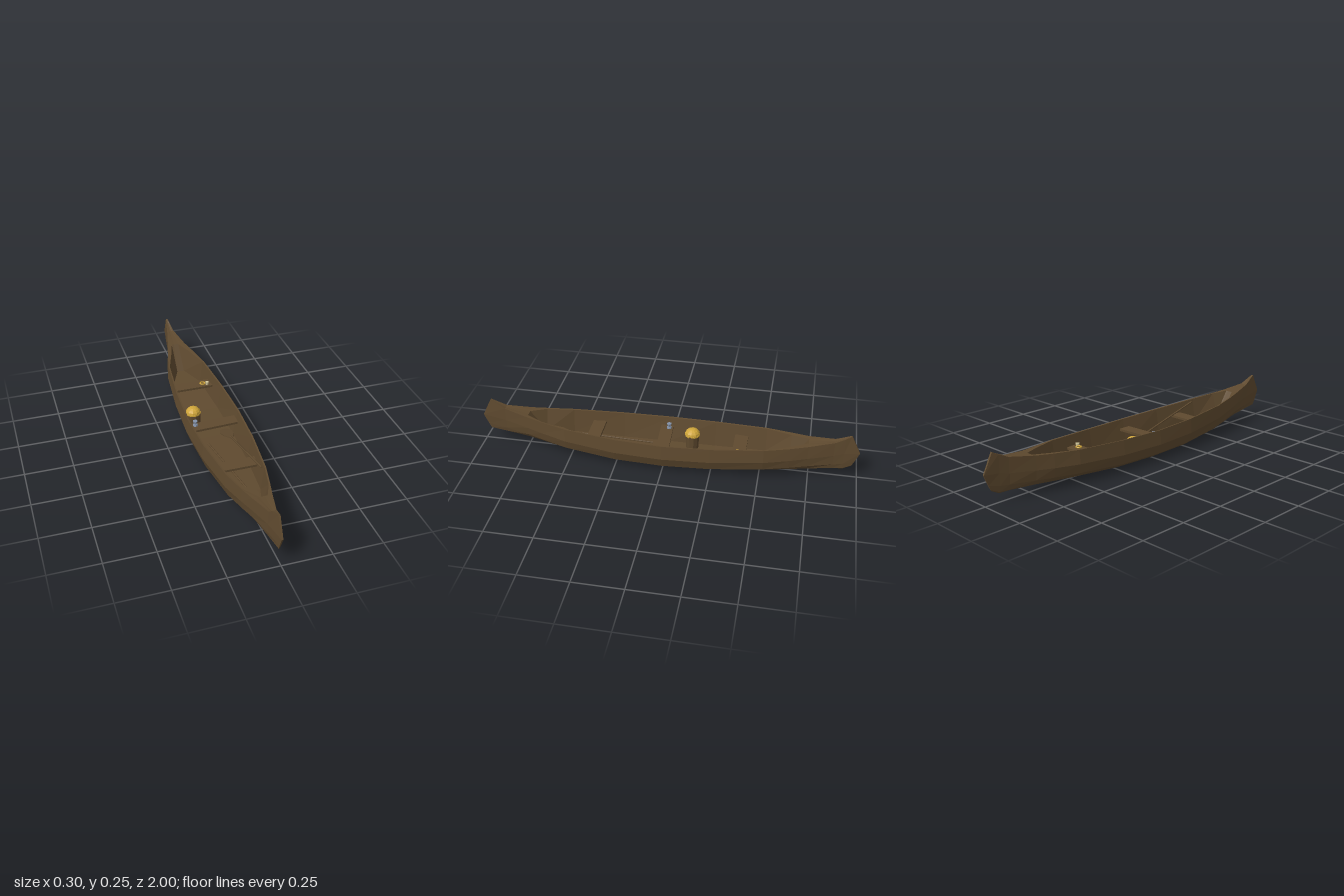
import * as THREE from 'three';

const mat = (name, color) => {
  const m = new THREE.MeshStandardMaterial({ color });
  m.name = name;
  return m;
};

// Flat facets without shared normals
const flat = (g) => {
  const f = g.index ? g.toNonIndexed() : g;
  f.computeVertexNormals();
  return f;
};

// Stations from stern to bow: z, half width, keel y, gunwale y, floor half width (0 = decked)
const STATIONS = [
  [-0.92, 0.012, 0.047, 0.238, 0],
  [-0.87, 0.02, 0.046, 0.215, 0],
  [-0.74, 0.052, 0.04, 0.195, 0],
  [-0.65, 0.078, 0.035, 0.188, 0.02],
  [-0.52, 0.11, 0.028, 0.181, 0.078],
  [-0.25, 0.138, 0.008, 0.17, 0.102],
  [0, 0.149, 0.003, 0.165, 0.107],
  [0.25, 0.138, 0.004, 0.168, 0.102],
  [0.52, 0.106, 0.025, 0.178, 0.076],
  [0.66, 0.073, 0.044, 0.188, 0.03],
  [0.74, 0.052, 0.055, 0.196, 0],
  [0.87, 0.02, 0.06, 0.215, 0],
];

// Half section: keel, bilge, side, gunwale, then rim, floor edge and floor centre
function section([z, w, k, g, f]) {
  const h = g - k;
  const outer = [[0, k, z], [0.59 * w, k + 0.04 * h, z], [0.87 * w, k + 0.2 * h, z],
    [w, k + 0.53 * h, z], [0.95 * w, g, z]];
  const rim = f ? Math.min(0.95 * w - 0.008, f + 0.033) : 0.5 * w;
  const floorY = f ? k + 0.025 : g - 0.002;
  return [...outer, [rim, g - 0.001, z], [f || 0.25 * w, floorY, z], [0, floorY, z]];
}

// Raked stem that closes either end
function stem(s) {
  const w = 0.005;
  return [[0, 0.07, 0.963], [w * 0.4, 0.075, 0.966], [w * 0.6, 0.1, 0.977], [w * 0.8, 0.155, 1],
    [w, 0.255, 0.95], [w * 0.6, 0.255, 0.95], [w * 0.3, 0.255, 0.95], [0, 0.255, 0.95]]
    .map(([x, y, z]) => [x, y, z * s]);
}

function hullGeometry() {
  const halves = [stem(-1), ...STATIONS.map(section), stem(1)];
  const pos = [], idx = [], n = 14;
  for (const half of halves) {
    const mirrored = half.slice(1, 7).reverse().map(([x, y, z]) => [-x, y, z]);
    for (const p of [...half, ...mirrored]) pos.push(...p);
  }
  for (let i = 0; i < halves.length - 1; i++) {
    for (let j = 0; j < n; j++) {
      const a = i * n + j, b = i * n + (j + 1) % n;
      idx.push(a, b, a + n, b, b + n, a + n);
    }
  }
  const last = (halves.length - 1) * n;
  for (let j = 0; j < 7; j++) {
    const l0 = (n - j) % n, l1 = n - j - 1;
    idx.push(last + j, last + j + 1, last + l1, last + j, last + l1, last + l0);
    idx.push(j, l1, j + 1, j, l0, l1);
  }
  const g = new THREE.BufferGeometry();
  g.setAttribute('position', new THREE.Float32BufferAttribute(pos, 3));
  g.setIndex(idx);
  return flat(g);
}

export function createModel() {
  const model = new THREE.Group();
  model.name = 'canoe';
  const wood = mat('brown wood', 0x5f4a2f);
  const yellow = mat('yellow', 0xd0a63a);
  const steel = mat('blue grey', 0x8290a6);
  const cream = mat('cream', 0xd6cba0);

  const add = (parent, name, geo, m, x = 0, y = 0, z = 0) => {
    const mesh = new THREE.Mesh(flat(geo), m);
    mesh.name = name;
    mesh.position.set(x, y, z);
    parent.add(mesh);
    return mesh;
  };
  const group = (name, x, y, z) => {
    const g = new THREE.Group();
    g.name = name;
    g.position.set(x, y, z);
    model.add(g);
    return g;
  };

  add(model, 'hull', hullGeometry(), wood);

  // Cross benches
  const benches = [['rearBench', -0.39, 0.208, 0.07, 0], ['middleBench', 0.008, 0.25, 0.066, 0.05],
    ['frontBench', 0.38, 0.206, 0.07, 0]];
  for (const [name, z, w, d, turn] of benches) {
    add(model, name, new THREE.BoxGeometry(w, 0.012, d), wood, 0, 0.113, z).rotation.y = turn;
  }

  // Paddles, each running from grip to blade tip
  function paddle(name, grip, tip) {
    const g = group(name, ...grip);
    const from = new THREE.Vector3(...grip), to = new THREE.Vector3(...tip);
    const len = from.distanceTo(to), bladeLen = 0.13;
    const shaft = new THREE.CylinderGeometry(0.005, 0.005, len - bladeLen + 0.02, 6);
    shaft.rotateX(Math.PI / 2);
    add(g, 'shaft', shaft, wood, 0, 0, (len - bladeLen + 0.02) / 2);
    const outline = new THREE.Shape([[-0.006, 0], [0.006, 0], [0.028, 0.045], [0.034, 0.085],
      [0.022, 0.122], [0, 0.13], [-0.022, 0.122], [-0.034, 0.085], [-0.028, 0.045]]
      .map(([x, y]) => new THREE.Vector2(x, y)));
    const blade = new THREE.ExtrudeGeometry(outline, { depth: 0.006, bevelEnabled: false });
    blade.rotateX(Math.PI / 2);
    add(g, 'blade', blade, wood, 0, 0.003, len - bladeLen);
    g.lookAt(to);
  }
  paddle('leftPaddle', [0.085, 0.165, 0.5], [0.065, 0.04, -0.03]);
  paddle('rightPaddle', [-0.053, 0.045, 0.08], [0.007, 0.105, 0.65]);

  // Pack with a yellow top
  const pack = group('pack', -0.07, 0.03, -0.13);
  add(pack, 'packBody', new THREE.CylinderGeometry(0.037, 0.033, 0.085, 10), wood, 0, 0.0425, 0);
  const dome = new THREE.SphereGeometry(0.04, 10, 4, 0, Math.PI * 2, 0, Math.PI / 2);
  dome.scale(1, 0.8, 1);
  add(pack, 'packTop', dome, yellow, -0.004, 0.085, 0);
  add(pack, 'packRim', new THREE.CylinderGeometry(0.041, 0.041, 0.008, 10), yellow, -0.004, 0.083, 0);

  // Small reel on the middle bench
  const reel = group('reel', -0.1, 0.119, 0);
  add(reel, 'reelBase', new THREE.CylinderGeometry(0.012, 0.014, 0.008, 8), steel, 0, 0.004, 0);
  add(reel, 'reelPost', new THREE.CylinderGeometry(0.006, 0.006, 0.016, 6), steel, 0, 0.014, 0);
  add(reel, 'reelCap', new THREE.CylinderGeometry(0.013, 0.011, 0.008, 8), steel, 0, 0.024, 0);

  // Cup and coil on the rear bench
  const kit = group('benchKit', 0.065, 0.119, -0.38);
  const coil = new THREE.TorusGeometry(0.013, 0.004, 5, 10);
  coil.rotateX(Math.PI / 2);
  add(kit, 'coil', coil, yellow, -0.01, 0.004, -0.005);
  add(kit, 'cup', new THREE.CylinderGeometry(0.01, 0.008, 0.016, 8), cream, 0.013, 0.008, 0.007);

  return model;
}
